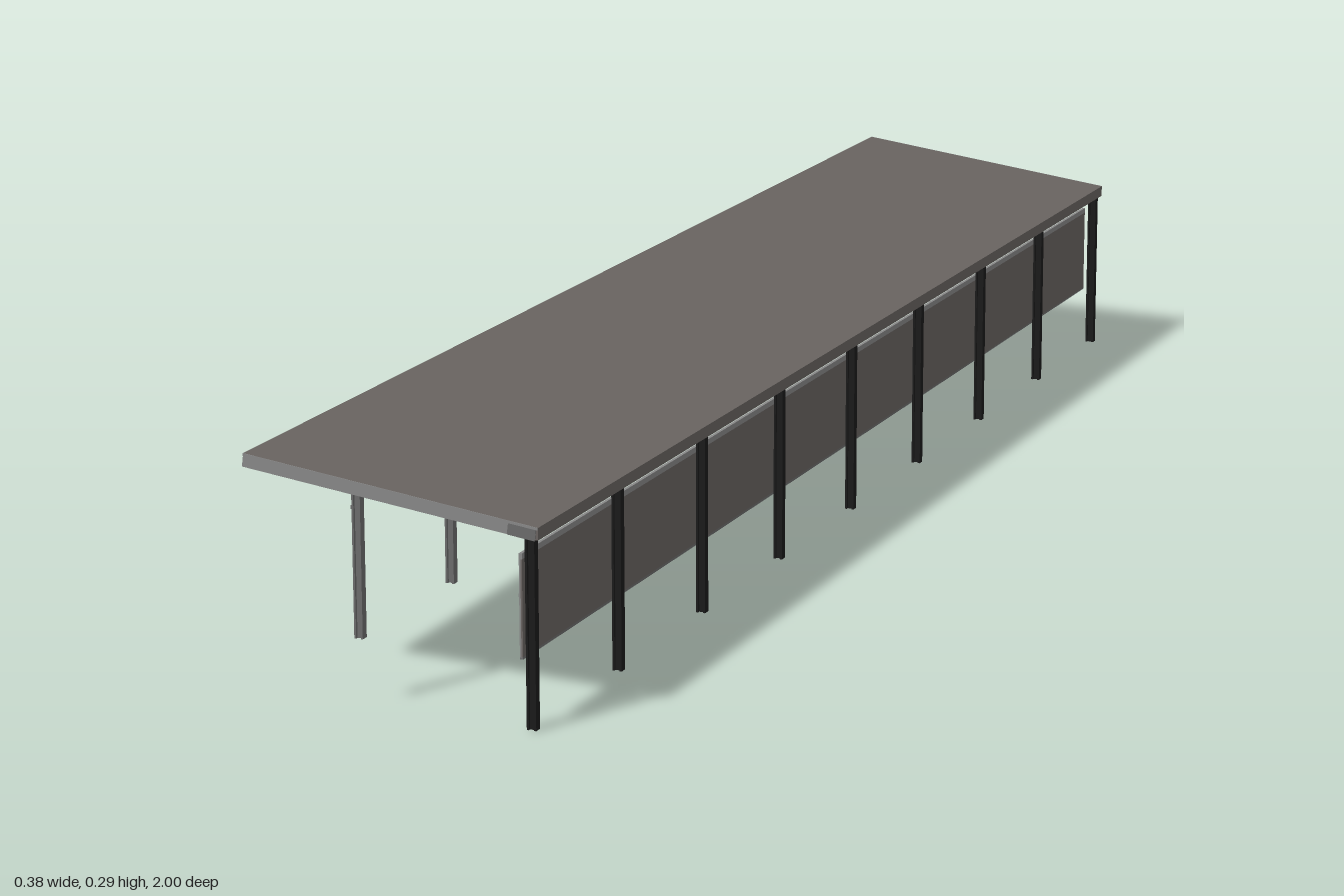
import * as THREE from 'three';

const mat = (name, color) => Object.assign(new THREE.MeshStandardMaterial({ color }), { name });

export function createModel() {
  const model = new THREE.Group();
  model.name = 'platformCanopy';
  const sheet = mat('warmGreySheet', 0x696461);
  const steel = mat('greySteel', 0x888888);
  const column = mat('columnGrey', 0x6c6c6c);
  const black = mat('blackSteel', 0x1b1b1b);

  const box = (parent, name, m, w, h, d, x, y, z) => {
    const mesh = new THREE.Mesh(new THREE.BoxGeometry(w, h, d), m);
    mesh.name = name;
    mesh.position.set(x, y, z);
    parent.add(mesh);
    return mesh;
  };

  // H-section column with flanges facing left and right
  const hColumn = (name, m, x, y0, y1, z, w, d) => {
    const s = new THREE.Shape();
    const a = w / 2, b = d / 2, f = w * 0.22, t = d * 0.15;
    [[-a, -b], [-a + f, -b], [-a + f, -t], [a - f, -t], [a - f, -b], [a, -b],
      [a, b], [a - f, b], [a - f, t], [-a + f, t], [-a + f, b], [-a, b]]
      .forEach(([px, py], i) => (i ? s.lineTo(px, py) : s.moveTo(px, py)));
    const g = new THREE.ExtrudeGeometry(s, { depth: y1 - y0, bevelEnabled: false });
    g.rotateX(-Math.PI / 2);
    const mesh = new THREE.Mesh(g, m);
    mesh.name = name;
    mesh.position.set(x, y0, z);
    model.add(mesh);
  };

  // Sloping roof, hollow underneath
  const L = 0.379, T = 0.0165, D = 1.994;
  const roof = new THREE.Group();
  roof.name = 'roof';
  roof.position.set(0, 0.258, 0);
  roof.rotation.z = -0.1235;
  model.add(roof);
  box(roof, 'roofSheet', sheet, L, 0.003, D, 0, T / 2 - 0.0015, 0);
  const fy = -0.0015, fh = T - 0.003;
  box(roof, 'highFascia', steel, 0.004, fh, D, -L / 2 + 0.002, fy, 0);
  for (const s of [-1, 1]) {
    box(roof, 'endFascia', steel, L - 0.004, fh, 0.004, -0.002, fy, s * (D / 2 - 0.002));
    box(roof, 'endTrim', steel, L, 0.003, 0.001, 0, T / 2 - 0.0015, s * (D / 2 + 0.0005));
  }
  box(roof, 'endCoverPlate', column, 0.035, fh, 0.001, L / 2 - 0.0195, fy, D / 2 + 0.0005);

  // Upright fascia along the low edge
  box(model, 'lowFascia', sheet, 0.004, 0.0145, D, 0.187, 0.2352, 0);

  // Purlins along the roof
  for (const x of [-0.145, -0.095, 0.02, 0.125]) {
    box(roof, 'purlin', black, 0.005, 0.006, D - 0.008, x, 0.001, 0);
  }

  // Nine rows: rear posts, shorter inner columns and rafters
  for (let i = 0; i < 9; i++) {
    const z = Math.min(-0.992 + i * 0.2495, 0.99);
    hColumn('rearPost', black, 0.177, 0, 0.231, z, 0.012, 0.01);
    hColumn('innerColumn', column, -0.043, 0.082, 0.257, z, 0.011, 0.01);
    box(model, 'columnBracket', column, 0.003, 0.004, 0.006, -0.0495, 0.239, z);
    box(roof, 'rafter', black, L - 0.008, 0.01, 0.007, 0, -0.0017, z);
  }

  // Strip light below the rafters
  box(model, 'stripLight', column, 0.008, 0.005, 1.96, 0.078, 0.2405, 0);

  // Rear windbreak: warm outer sheet, grey inner lining and rails
  box(model, 'windbreakSheet', sheet, 0.002, 0.117, 1.98, 0.164, 0.1425, 0);
  box(model, 'windbreakLining', steel, 0.002, 0.117, 1.98, 0.162, 0.1425, 0);
  box(model, 'panelTopRail', steel, 0.004, 0.007, 1.98, 0.163, 0.2045, 0);
  box(model, 'panelMiddleRail', steel, 0.001, 0.004, 1.98, 0.1605, 0.158, 0);
  box(model, 'panelBottomRail', column, 0.004, 0.003, 1.98, 0.163, 0.0835, 0);

  // Hanging square unit with a grid of studs on both faces
  const unit = new THREE.Group();
  unit.name = 'hangingUnit';
  unit.position.set(-0.157, 0.2345, 0.2495);
  model.add(unit);
  box(unit, 'unitBody', steel, 0.019, 0.022, 0.006, 0, 0, 0);
  box(unit, 'hangerRod', steel, 0.0012, 0.036, 0.0012, 0, 0.029, 0);
  for (const s of [-1, 1]) {
    for (let i = -1; i <= 1; i++) {
      for (let j = -1; j <= 1; j++) {
        box(unit, 'unitStud', black, 0.0013, 0.0013, 0.0006, i * 0.006, j * 0.007, s * 0.0032);
      }
    }
  }
  return model;
}
